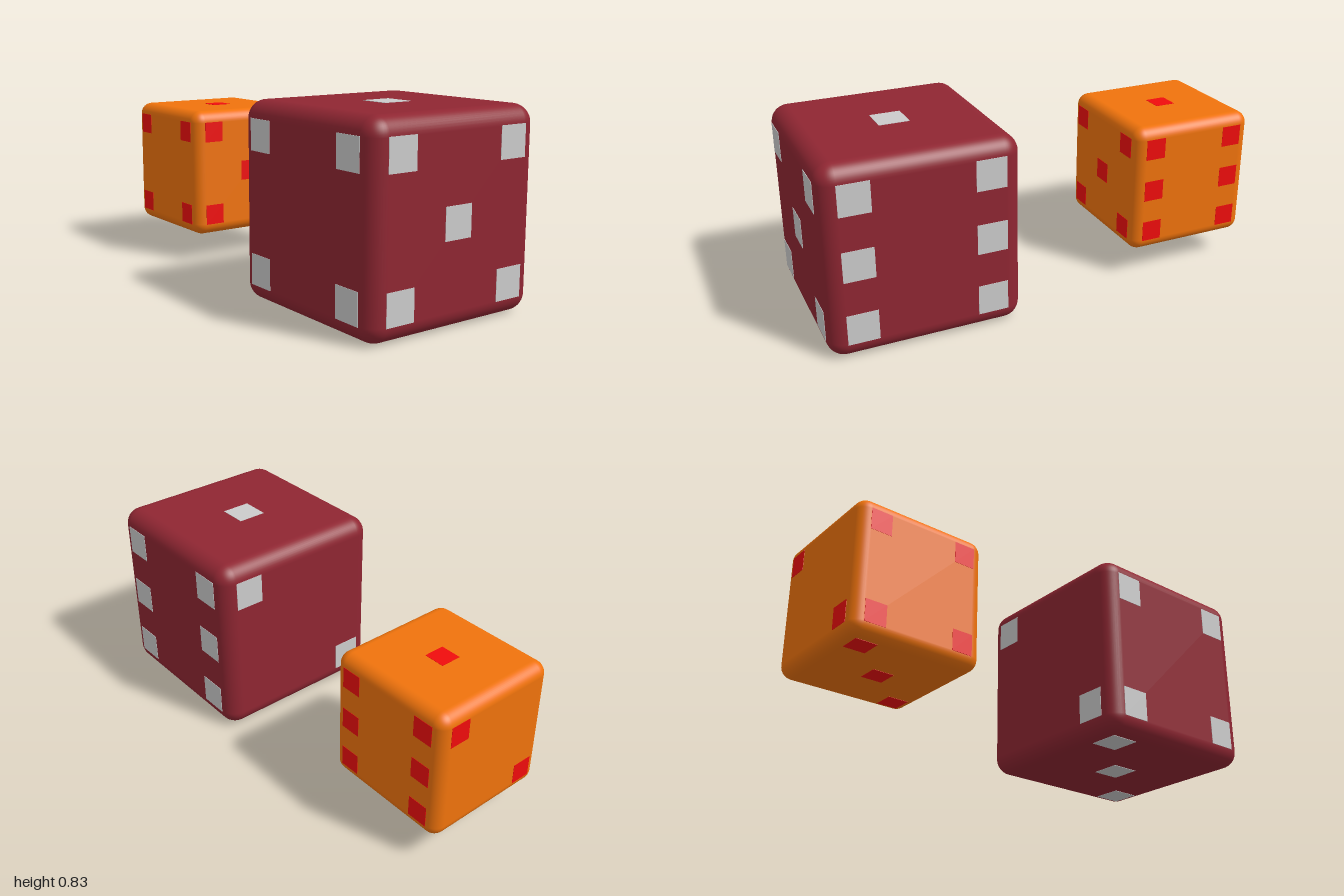
import * as THREE from 'three';
import { RoundedBoxGeometry } from 'three/addons/geometries/RoundedBoxGeometry.js';

// Pip layouts per face, in units of the pip offset, as [u, v] on the face's own axes
const four = [[-1, -1], [1, -1], [-1, 1], [1, 1]];
const FACES = [
  { name: 'top', u: [1, 0, 0], v: [0, 0, -1], pips: [[0, 0]] },
  { name: 'right', u: [0, 0, 1], v: [0, 1, 0], pips: [[-1, 1], [1, -1]] },
  { name: 'bottom', u: [1, 0, 0], v: [0, 0, 1], pips: [[1, -1], [0, 0], [-1, 1]] },
  { name: 'front', u: [1, 0, 0], v: [0, 1, 0], pips: four },
  { name: 'left', u: [0, 0, -1], v: [0, 1, 0], pips: [...four, [0, 0]] },
  { name: 'back', u: [-1, 0, 0], v: [0, 1, 0], pips: [...four, [-1, 0], [1, 0]] },
];

function createDie(name, size, bodyColor, pipColor) {
  const die = new THREE.Group();
  die.name = name;

  // Rounded cube
  const body = new THREE.Mesh(
    new RoundedBoxGeometry(size, size, size, 6, size * 0.09),
    new THREE.MeshStandardMaterial({ color: bodyColor })
  );
  body.name = 'body';
  die.add(body);

  // Square pips, inlaid almost flush with each face
  const depth = size * 0.02;
  const proud = size * 0.002;
  const offset = size * 0.335;
  const pipGeometry = new THREE.BoxGeometry(size * 0.158, size * 0.158, depth);
  const pipMaterial = new THREE.MeshStandardMaterial({ color: pipColor });
  for (const face of FACES) {
    const u = new THREE.Vector3(...face.u);
    const v = new THREE.Vector3(...face.v);
    const side = new THREE.Group();
    side.name = face.name + 'Pips';
    side.quaternion.setFromRotationMatrix(
      new THREE.Matrix4().makeBasis(u, v, u.clone().cross(v))
    );
    for (const [a, b] of face.pips) {
      const pip = new THREE.Mesh(pipGeometry, pipMaterial);
      pip.name = 'pip';
      pip.position.set(a * offset, b * offset, size / 2 + proud - depth / 2);
      side.add(pip);
    }
    die.add(side);
  }
  return die;
}

export function createModel() {
  const model = new THREE.Group();
  model.name = 'dicePair';

  const large = createDie('largeDie', 0.824, 0x8f2632, 0xcccccc);
  large.position.set(0.587, 0.413, 0);

  const small = createDie('smallDie', 0.584, 0xf0730c, 0xf00c0c);
  small.position.set(-0.708, 0.415, -0.005);

  model.add(large, small);
  return model;
}
